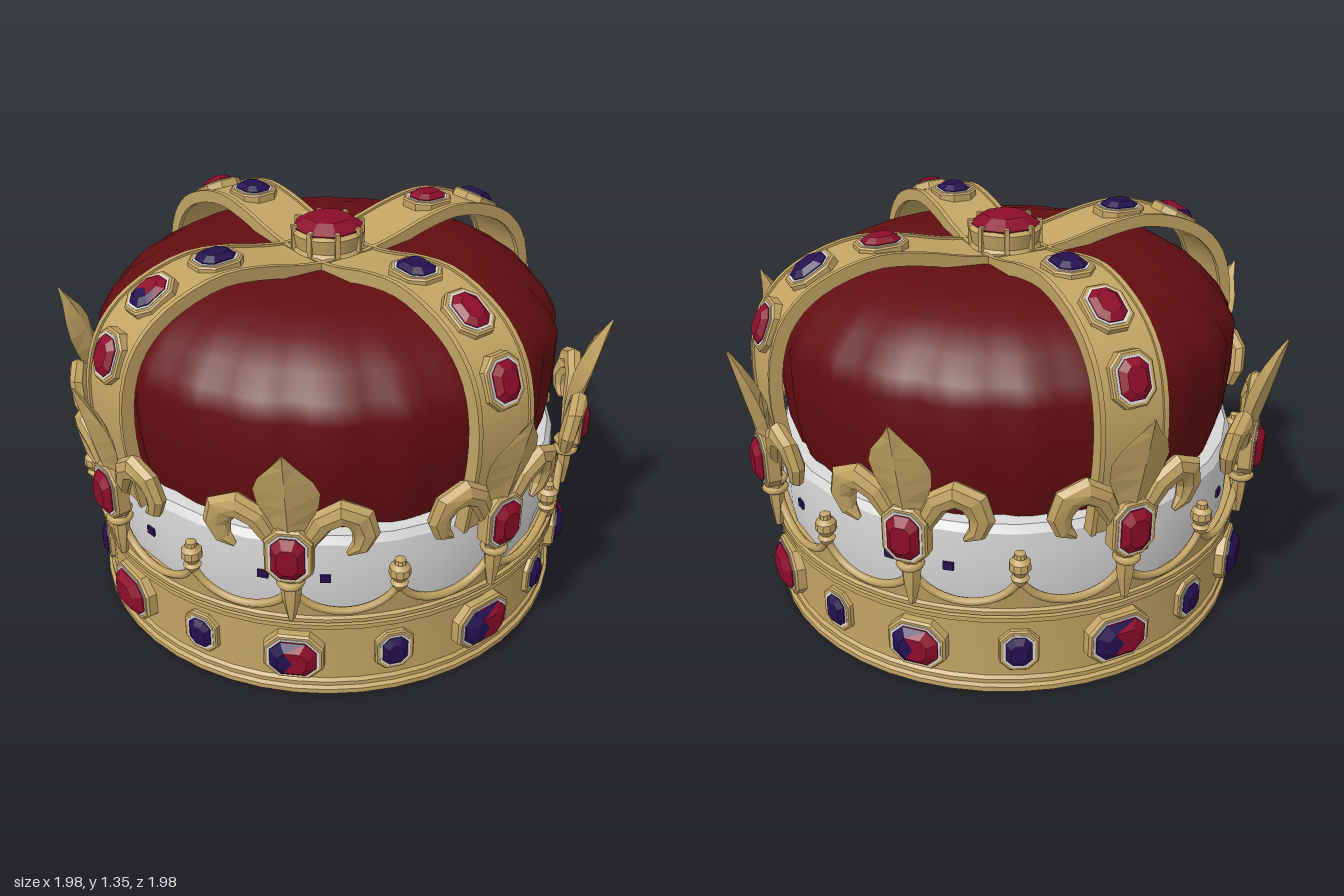
import * as THREE from 'three';
import { toCreasedNormals } from 'three/addons/utils/BufferGeometryUtils.js';

const mat = (name, color, side = THREE.FrontSide) => new THREE.MeshStandardMaterial({ name, color, side });
const gold = mat('gold', 0xc2a363, THREE.DoubleSide);
const velvet = mat('velvet red', 0x620d10);
const fur = mat('white fur', 0xd6d6d6);
const ruby = mat('ruby', 0x8c0c2a);
const sapphire = mat('sapphire', 0x24104f);

const V = (x, y, z) => new THREE.Vector3(x, y, z);

function mesh(name, geometry, material) {
  const m = new THREE.Mesh(geometry, material);
  m.name = name;
  return m;
}

// Skins a row of closed cross-sections with flat facets and capped ends
function skin(rings) {
  const pts = [], n = rings[0].length;
  const centre = r => r.reduce((s, p) => s.add(p), V(0, 0, 0)).divideScalar(n);
  const last = rings[rings.length - 1], c0 = centre(rings[0]), c1 = centre(last);
  for (let j = 0; j < n; j++) {
    const k = (j + 1) % n;
    for (let i = 0; i < rings.length - 1; i++) {
      const a = rings[i], b = rings[i + 1];
      pts.push(a[j], a[k], b[k], a[j], b[k], b[j]);
    }
    pts.push(c0, rings[0][k], rings[0][j], c1, last[j], last[k]);
  }
  const g = new THREE.BufferGeometry().setFromPoints(pts);
  g.computeVertexNormals();
  return g;
}

// Cut-corner block: levels are [scale, z]
function octagonBlock(w, h, levels) {
  const c = Math.min(w, h) * 0.27, a = w / 2, b = h / 2;
  const o = [[a, c - b], [a, b - c], [a - c, b], [c - a, b], [-a, b - c], [-a, c - b], [c - a, -b], [a - c, -b]];
  return skin(levels.map(([s, z]) => o.map(([x, y]) => V(x * s, y * s, z))));
}

// Cut stone in a gold mount; a split stone is blue on its negative side
function jewel(w, h, d, colour, split) {
  const g = new THREE.Group();
  g.name = 'jewel';
  const stone = octagonBlock(w, h, [[1, 0], [1, d * 0.55], [0.62, d]]);
  if (split) {
    const p = stone.attributes.position, get = split === 'x' ? 'getX' : 'getY';
    for (let i = 0; i < p.count; i += 3) {
      stone.addGroup(i, 3, p[get](i) + p[get](i + 1) + p[get](i + 2) < 0 ? 0 : 1);
    }
  }
  g.add(
    mesh('stone', stone, split ? [sapphire, ruby] : colour),
    mesh('bezel', octagonBlock(w + 0.016, h + 0.016, [[1, 0], [1, d * 0.45]]), fur),
    mesh('mount', octagonBlock(w + 0.045, h + 0.045, [[1, -0.03], [1, d * 0.25], [0.93, d * 0.4]]), gold));
  return g;
}

// Puts a part at an angle around the crown, its z axis pointing outward
function around(parent, part, angle, y, r, pitch = 0) {
  const pivot = new THREE.Group();
  pivot.name = part.name + 'Pivot';
  pivot.rotation.y = angle;
  part.position.set(0, y, r);
  part.rotation.x = pitch;
  pivot.add(part);
  parent.add(pivot);
}

const lathe = (pts, seg, crease = 0.5) =>
  toCreasedNormals(new THREE.LatheGeometry(pts.map(p => new THREE.Vector2(...p)), seg), crease);

// Outward lean of the lilies
const leanCurve = (x, y) => 0.875 + 0.5 * Math.max(0, y - 0.55) ** 2 - x * x / 1.7;

// Petal along a path of [x, y, halfWidth, halfThickness]
function petal(path, sides, flip = 1) {
  const P = path.map(([x, y]) => V(x * flip, y, leanCurve(x, y)));
  return skin(path.map(([, , w, t], i) => {
    const T = P[Math.min(i + 1, P.length - 1)].clone().sub(P[Math.max(i - 1, 0)]).setZ(0).normalize();
    return Array.from({ length: sides }, (_, j) => {
      const a = j / sides * Math.PI * 2;
      return P[i].clone().add(V(T.y * w * Math.cos(a), -T.x * w * Math.cos(a), -t * Math.sin(a)));
    });
  }));
}

function lily() {
  const g = new THREE.Group();
  g.name = 'lily';
  g.add(mesh('centrePetal', petal([[0, 0.55, 0.03, 0.02], [0, 0.66, 0.045, 0.025], [0, 0.73, 0.065, 0.03], [0, 0.8, 0.093, 0.033],
    [0, 0.86, 0.1, 0.03], [0, 0.91, 0.082, 0.025], [0, 0.97, 0.035, 0.015], [0, 1.02, 0.003, 0.004]], 4), gold));
  const curl = [[0.02, 0.55, 0.02, 0.02], [0.055, 0.65, 0.03, 0.026], [0.1, 0.735, 0.04, 0.03], [0.16, 0.772, 0.046, 0.032],
    [0.21, 0.745, 0.052, 0.032], [0.228, 0.685, 0.044, 0.03], [0.212, 0.63, 0.03, 0.024], [0.175, 0.602, 0.008, 0.01]];
  for (const s of [-1, 1]) g.add(mesh('sidePetal', petal(curl, 8, s), gold));
  g.add(mesh('stem', petal([[0, 0.34, 0.012, 0.015], [0, 0.42, 0.03, 0.025], [0, 0.5, 0.038, 0.028], [0, 0.57, 0.03, 0.025]], 6), gold));
  for (const y of [0.49, 0.525]) {
    const ring = mesh('collar', new THREE.TorusGeometry(0.033, 0.013, 6, 14), gold);
    ring.rotation.x = Math.PI / 2;
    ring.position.set(0, y, 0.877);
    g.add(ring);
  }
  const gem = jewel(0.105, 0.15, 0.045, ruby);
  gem.position.set(0, 0.61, 0.9);
  g.add(gem);
  return g;
}

// Strip of arch, extruded sideways between x0 and x1
function archStrip(x0, x1, lift, thick) {
  const half = [[0.845, 0.58], [0.862, 0.7], [0.88, 0.85], [0.872, 1], [0.83, 1.12], [0.755, 1.205],
    [0.65, 1.262], [0.5, 1.298], [0.35, 1.285], [0.2, 1.25], [0.1, 1.235], [0, 1.23]];
  const all = [...half, ...half.slice(0, -1).reverse().map(([x, y]) => [-x, y])];
  const curve = new THREE.CatmullRomCurve3(all.map(([x, y]) => V(x, y, 0)));
  const offset = d => Array.from({ length: 57 }, (_, i) => {
    const p = curve.getPoint(i / 56), t = curve.getTangent(i / 56);
    return new THREE.Vector2(p.x + t.y * d, p.y - t.x * d);
  });
  const shape = new THREE.Shape([...offset(lift), ...offset(lift - thick).reverse()]);
  const g = new THREE.ExtrudeGeometry(shape, { depth: x1 - x0, bevelEnabled: false });
  return toCreasedNormals(g.translate(0, 0, x0), 0.5);
}

export function createModel() {
  const crown = new THREE.Group();
  crown.name = 'crown';
  const step = Math.PI / 8;

  // Closed base band with rims
  crown.add(mesh('baseBand', lathe([[0, 0], [0.857, 0], [0.857, 0.018], [0.845, 0.025], [0.845, 0.04], [0.835, 0.05], [0.835, 0.27],
    [0.858, 0.28], [0.858, 0.297], [0.842, 0.302], [0.858, 0.308], [0.858, 0.322], [0.845, 0.33], [0.78, 0.33]], 48), gold));

  // Fur band
  crown.add(mesh('furBand', lathe([[0.81, 0.32], [0.823, 0.4], [0.823, 0.52], [0.818, 0.585], [0.8, 0.61], [0.74, 0.615]], 32), fur));

  // Puffed cushion with gathered pleats
  const cushion = new THREE.LatheGeometry([[0.75, 0.58], [0.785, 0.7], [0.8, 0.85], [0.8, 1], [0.765, 1.06], [0.7, 1.13], [0.6, 1.19],
    [0.47, 1.222], [0.32, 1.232], [0.18, 1.222], [0.08, 1.205], [0, 1.2]].map(p => new THREE.Vector2(...p)), 96);
  const pos = cushion.attributes.position;
  for (let i = 0; i < pos.count; i++) {
    const x = pos.getX(i), z = pos.getZ(i), a = Math.atan2(x, z), r = Math.hypot(x, z);
    const pleat = Math.abs(Math.sin(a * 12 + 0.6 * Math.sin(a * 4)));
    const k = 1 - 0.028 * (1 - pleat) ** 2 * Math.min(1, r * r * 1.6);
    pos.setXYZ(i, x * k, pos.getY(i), z * k);
  }
  cushion.computeVertexNormals();
  crown.add(mesh('cushion', cushion, velvet));

  // Scalloped gallery: filled web with a rounded edge, cusps every half step
  for (let s = 0; s < 16; s++) {
    const edge = [], web = [];
    for (let i = 0; i <= 16; i++) {
      const u = (i / 16 - 0.5) * Math.PI, a = (s + 0.5 + Math.sin(u) / 2) * step;
      const y = 0.48 - 0.125 * Math.cos(u), r = 0.85 + (y - 0.33) * 0.13;
      edge.push(V(Math.sin(a) * r, y, Math.cos(a) * r));
      web.push(V(Math.sin(a) * 0.845, 0.32, Math.cos(a) * 0.845));
    }
    const tris = [];
    for (let i = 0; i < 16; i++) tris.push(web[i], web[i + 1], edge[i + 1], web[i], edge[i + 1], edge[i]);
    const webGeometry = new THREE.BufferGeometry().setFromPoints(tris);
    webGeometry.computeVertexNormals();
    crown.add(mesh('galleryWeb', webGeometry, gold));
    crown.add(mesh('galleryEdge', new THREE.TubeGeometry(new THREE.CatmullRomCurve3(edge), 24, 0.014, 6), gold));
  }

  // Lilies and small finials in turn
  const finial = lathe([[0, 0.42], [0.018, 0.44], [0.03, 0.46], [0.018, 0.47], [0.036, 0.495], [0.034, 0.52], [0.02, 0.535],
    [0.018, 0.55], [0, 0.557]], 10);
  for (let i = 0; i < 16; i++) {
    if (i % 2 === 0) around(crown, lily(), i * step, 0, 0);
    else around(crown, mesh('finial', finial, gold), i * step, 0, 0.865);
  }

  // Band stones, anticlockwise from the front
  const bandStones = [[ruby], [ruby, 'x'], [ruby, 'x'], [ruby, 'x'], [ruby], [ruby, 'x'], [ruby, 'x'], [sapphire]];
  bandStones.forEach(([colour, split], i) => {
    const front = i % 2 === 0;
    around(crown, jewel(front ? 0.18 : 0.155, 0.135, 0.05, colour, split), i * 2 * step, 0.16, 0.845);
    around(crown, jewel(0.085, 0.11, 0.03, sapphire), (i * 2 + 1) * step, 0.16, 0.838);
  });

  // Dark flecks on the fur
  for (let q = 0; q < 4; q++) {
    for (const deg of [7, 38, 52]) {
      around(crown, mesh('fleck', new THREE.BoxGeometry(0.035, 0.028, 0.008), sapphire),
        q * Math.PI / 2 + THREE.MathUtils.degToRad(deg), 0.46, 0.823);
    }
  }

  // Two crossing arches with raised edges
  for (const turn of [0, Math.PI / 2]) {
    const arch = new THREE.Group();
    arch.name = 'arch';
    arch.rotation.y = turn;
    arch.add(mesh('archBand', archStrip(-0.115, 0.115, 0, 0.028), gold));
    for (const x of [-0.117, 0.1]) arch.add(mesh('archRim', archStrip(x, x + 0.017, 0.008, 0.044), gold));
    crown.add(arch);
  }

  // Arch stones: [radius, height, pitch]
  const spots = [[0.45, 1.3, -1.54], [0.69, 1.25, -1.05], [0.85, 1.09, -0.38]];
  for (let q = 0; q < 4; q++) {
    const colours = q === 2 ? [ruby, sapphire, ruby] : [sapphire, ruby, ruby];
    spots.forEach(([r, y, pitch], i) => {
      around(crown, jewel(0.1, 0.125, 0.036, colours[i], q === 0 && i === 1 ? 'y' : undefined), q * Math.PI / 2, y, r, pitch);
    });
  }

  // Great stone at the crossing, held by claws
  crown.add(mesh('topMount', lathe([[0, 1.21], [0.12, 1.21], [0.125, 1.235], [0.115, 1.25], [0.125, 1.3], [0.11, 1.31], [0, 1.31]], 24), gold));
  const great = mesh('topStone', octagonBlock(0.22, 0.22, [[0.9, 0], [1, 0.015], [0.62, 0.045]]), ruby);
  great.rotation.x = -Math.PI / 2;
  great.position.y = 1.3;
  crown.add(great);
  for (let i = 0; i < 8; i++) {
    around(crown, mesh('claw', new THREE.BoxGeometry(0.016, 0.085, 0.02), gold), (i + 0.5) * Math.PI / 4, 1.283, 0.118);
  }
  return crown;
}
